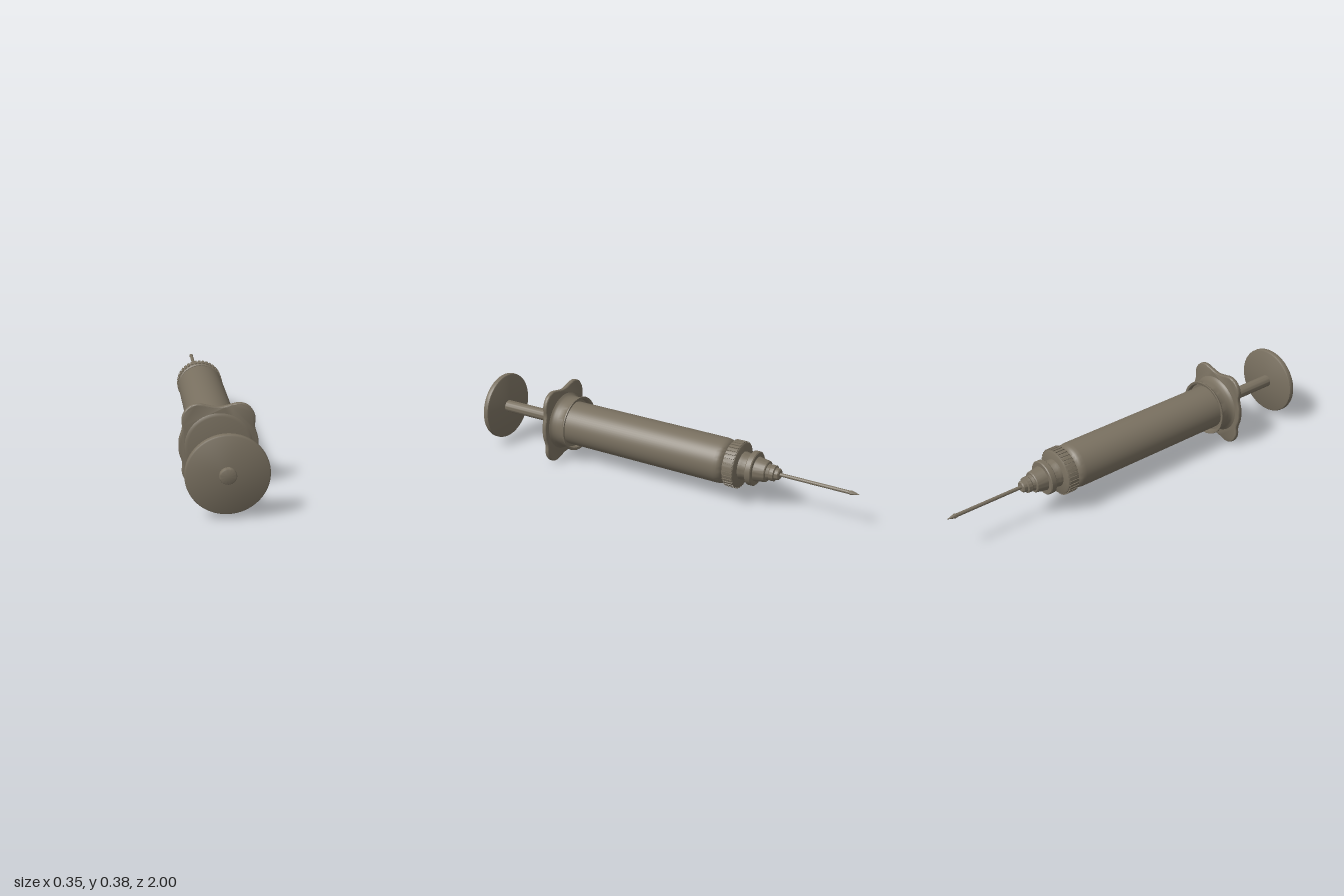
import * as THREE from 'three';
import { toCreasedNormals } from 'three/addons/utils/BufferGeometryUtils.js';

export function createModel() {
  const model = new THREE.Group();
  const axis = new THREE.Group();
  axis.name = 'syringe';
  axis.position.y = 0.19;
  model.add(axis);
  const metal = new THREE.MeshStandardMaterial({ color: 0x797060 });

  const add = (name, geometry, parent = axis) => {
    const mesh = new THREE.Mesh(geometry, metal);
    mesh.name = name;
    parent.add(mesh);
    return mesh;
  };

  // Turned part along z; profile is [radius, z] from back to front
  const turned = (name, profile, segments = 64) => {
    const g = new THREE.LatheGeometry(profile.map(([r, z]) => new THREE.Vector2(r, z)), segments);
    g.rotateX(Math.PI / 2);
    g.scale(1.025, 1, 1);
    return add(name, toCreasedNormals(g, 0.6));
  };

  // Plunger
  turned('thumbDisk', [[0, 0.95], [0.163, 0.95], [0.168, 0.953], [0.17, 0.958], [0.17, 0.972],
    [0.168, 0.977], [0.163, 0.98], [0, 0.98]], 80);
  turned('thumbButton', [[0, 0.975], [0.035, 0.975], [0.035, 0.993], [0.033, 0.998], [0.029, 1], [0, 1]], 32);
  turned('plungerRod', [[0, 0.59], [0.03, 0.59], [0.03, 0.955], [0, 0.955]], 32);

  // Finger grip with four lobes
  const quarter = [[0.174, 0], [0.171, 0.035], [0.158, 0.08], [0.16, 0.12], [0.15, 0.15],
    [0.127, 0.176], [0.09, 0.188], [0.05, 0.18], [0, 0.171]];
  const upper = [...quarter, ...quarter.slice(0, -1).reverse().map(([x, y]) => [-x, y])];
  const outline = [...upper, ...upper.slice(1, -1).reverse().map(([x, y]) => [x, -y])];
  const curve = new THREE.CatmullRomCurve3(outline.map(([x, y]) => new THREE.Vector3(x, y, 0)), true);
  const gripShape = new THREE.Shape(curve.getPoints(128).slice(0, -1).map(p => new THREE.Vector2(p.x, p.y)));
  const grip = new THREE.ExtrudeGeometry(gripShape, {
    depth: 0.01, bevelEnabled: true, bevelThickness: 0.007, bevelSize: 0.007, bevelOffset: -0.007, bevelSegments: 4,
  });
  grip.translate(0, 0, 0.592);
  add('fingerGrip', toCreasedNormals(grip, 0.6));
  turned('gripDome', [[0, 0.6], [0.15, 0.604], [0.142, 0.611], [0.13, 0.614], [0, 0.615]]);

  // Collar, open towards the barrel
  turned('collar', [[0.1, 0.525], [0.122, 0.525], [0.126, 0.505], [0.131, 0.502], [0.138, 0.502],
    [0.139, 0.507], [0.135, 0.513], [0.13, 0.518], [0.129, 0.55], [0.131, 0.57], [0.138, 0.58], [0.148, 0.588], [0.148, 0.595]]);

  // Barrel with rounded shoulder
  turned('barrel', [[0, -0.37], [0.085, -0.37], [0.086, -0.355], [0.095, -0.35], [0.102, -0.343],
    [0.107, -0.331], [0.109, -0.315], [0.109, 0.59], [0, 0.59]]);

  // Knurled cap
  turned('capRing', [[0, -0.422], [0.1, -0.422], [0.107, -0.418], [0.109, -0.412], [0.109, -0.37],
    [0.107, -0.364], [0.102, -0.36], [0, -0.36]]);
  const ribs = new THREE.Group();
  ribs.name = 'capRibs';
  axis.add(ribs);
  const ribGeometry = new THREE.BoxGeometry(0.012, 0.01, 0.05);
  const count = 36;
  for (let i = 0; i < count; i++) {
    const a = (i / count) * Math.PI * 2;
    const rib = add('capRib', ribGeometry, ribs);
    rib.position.set(Math.cos(a) * 0.1105, Math.sin(a) * 0.108, -0.391);
    rib.rotation.z = a - Math.PI / 2;
  }

  // Stepped needle hub
  turned('hubNeck', [[0, -0.48], [0.063, -0.48], [0.063, -0.44], [0.066, -0.435], [0.068, -0.41], [0, -0.41]], 48);
  turned('hubFlange', [[0, -0.496], [0.078, -0.496], [0.082, -0.492], [0.082, -0.469], [0.078, -0.465], [0, -0.465]], 48);
  turned('hubBody', [[0, -0.552], [0.046, -0.552], [0.05, -0.548], [0.057, -0.505], [0.06, -0.49], [0, -0.49]], 48);
  turned('hubTip', [[0, -0.612], [0.022, -0.612], [0.027, -0.607], [0.029, -0.592], [0.037, -0.588],
    [0.038, -0.57], [0.034, -0.565], [0.042, -0.545], [0, -0.545]], 40);

  // Needle with a pointed head
  turned('needle', [[0, -0.96], [0.0085, -0.96], [0.0085, -0.6], [0, -0.6]], 16);
  turned('needlePoint', [[0, -1], [0.006, -0.98], [0.011, -0.96], [0.0085, -0.945], [0, -0.945]], 8);

  return model;
}
